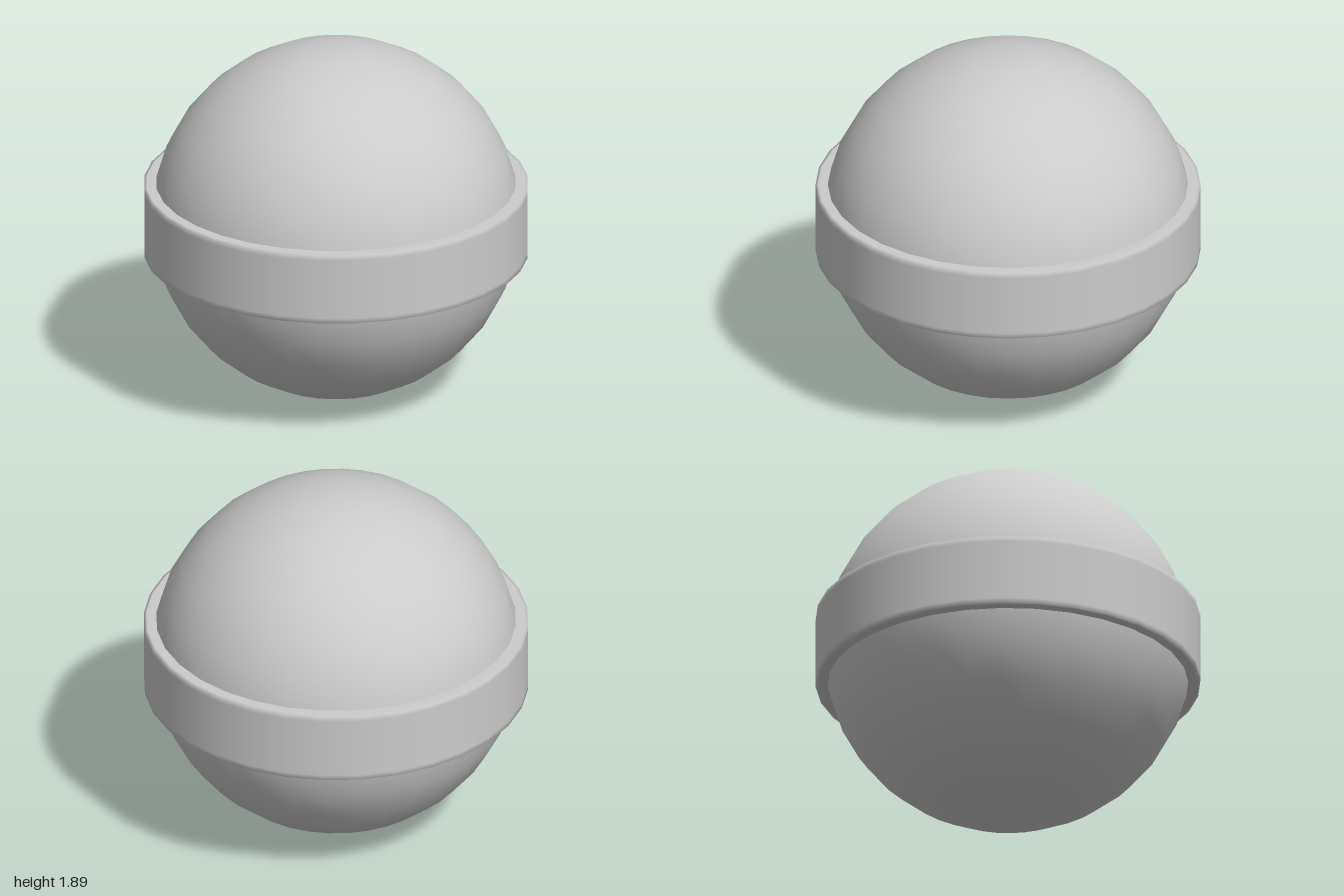
import * as THREE from 'three';

export function createModel() {
  const model = new THREE.Group();
  const material = new THREE.MeshStandardMaterial({ color: 0xcccccc });
  const centreY = 0.945;

  // Ball, very slightly wider than tall
  const ball = new THREE.Mesh(new THREE.SphereGeometry(0.945, 32, 16), material);
  ball.name = 'ball';
  ball.scale.set(1.013, 1, 1.013);
  ball.position.y = centreY;
  model.add(ball);

  // Flat-faced band around the middle, with tight support loops for softly shaded edges
  const inner = 0.92, outer = 1, half = 0.192, edge = 0.015;
  const profile = [
    [inner, -half], [outer - edge, -half], [outer, -half + 0.003], [outer, -half + 2 * edge],
    [outer, half - 2 * edge], [outer, half - 0.003], [outer - edge, half], [inner, half],
  ].map(([r, y]) => new THREE.Vector2(r, y));
  const band = new THREE.Mesh(new THREE.LatheGeometry(profile, 32), material);
  band.name = 'equatorBand';
  band.position.y = centreY + 0.002;
  model.add(band);

  return model;
}
